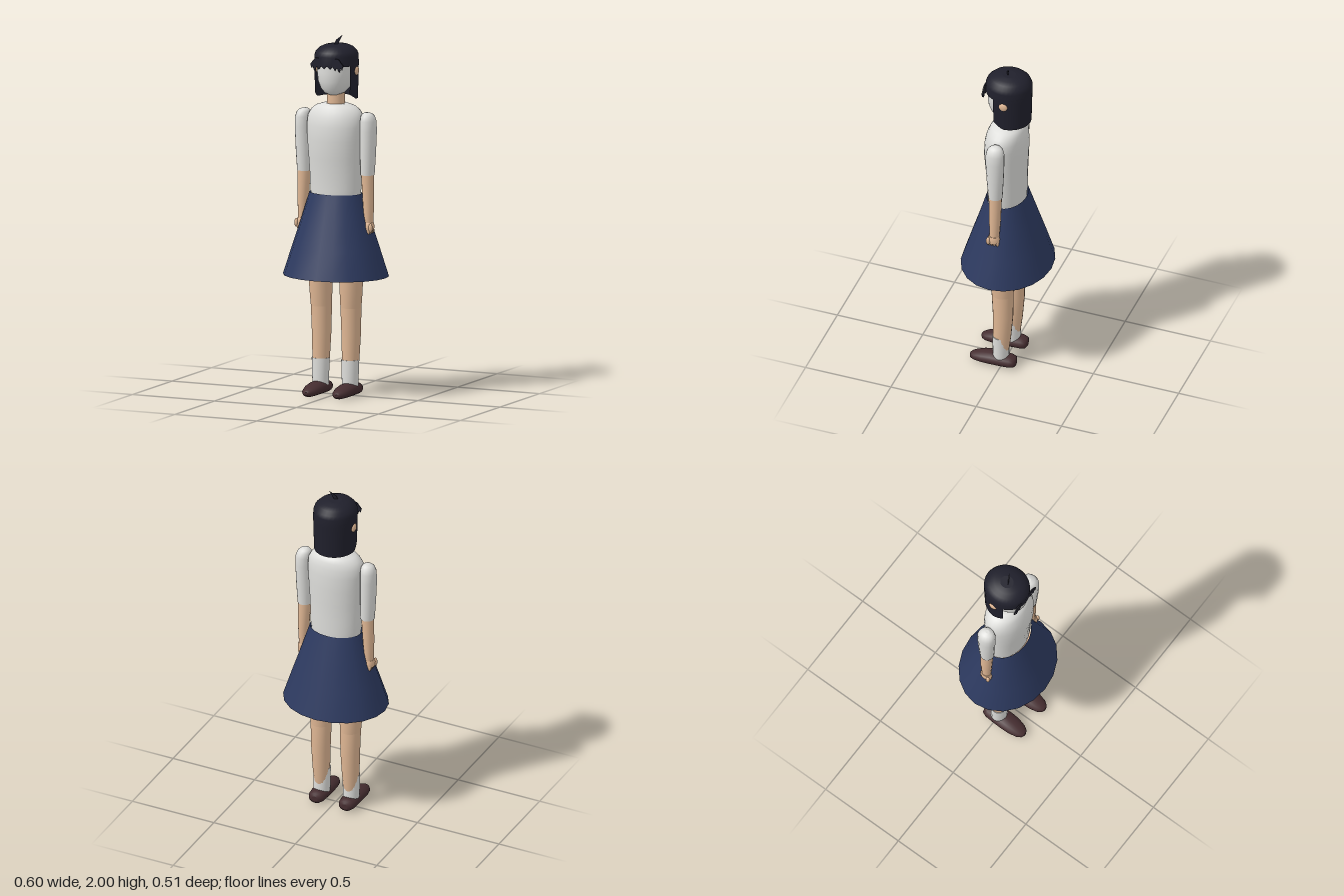
import * as THREE from 'three';

const mat = (name, color, side = THREE.FrontSide) => {
  const m = new THREE.MeshStandardMaterial({ color, side });
  m.name = name;
  return m;
};

// Skin stretched over elliptical rings [y, cx, cz, rx, rz], listed bottom to top.
function loft(rings, n = 20, capped = true) {
  const pos = [], idx = [];
  const addRing = ([y, cx, cz, rx, rz]) => {
    for (let i = 0; i < n; i++) {
      const a = (i / n) * Math.PI * 2 + Math.PI / 2;
      pos.push(cx + rx * Math.sin(a), y, cz + rz * Math.cos(a));
    }
  };
  rings.forEach(addRing);
  for (let r = 0; r < rings.length - 1; r++) {
    for (let i = 0; i < n; i++) {
      const j = (i + 1) % n, a = r * n, b = a + n;
      idx.push(a + i, a + j, b + j, a + i, b + j, b + i);
    }
  }
  if (capped) {
    [rings[0], rings[rings.length - 1]].forEach((ring, top) => {
      const s = pos.length / 3;
      addRing(ring);
      pos.push(ring[1], ring[0], ring[2]);
      for (let i = 0; i < n; i++) {
        const j = (i + 1) % n;
        if (top) idx.push(s + i, s + j, s + n);
        else idx.push(s + j, s + i, s + n);
      }
    });
  }
  const g = new THREE.BufferGeometry();
  g.setAttribute('position', new THREE.Float32BufferAttribute(pos, 3));
  g.setIndex(idx);
  g.computeVertexNormals();
  return g;
}

// Thin plate from outline points, facing +z.
const plate = (pts, depth = 0.006) => new THREE.ExtrudeGeometry(
  new THREE.Shape(pts.map(([x, y]) => new THREE.Vector2(x, y))),
  { depth, bevelEnabled: false });

export function createModel() {
  const model = new THREE.Group();
  const skin = mat('skin', 0xe0b794);
  const white = mat('white cloth', 0xdededb);
  const navy = mat('navy cloth', 0x2d3a60, THREE.DoubleSide);
  const dark = mat('dark hair', 0x20202c, THREE.DoubleSide);
  const brown = mat('brown leather', 0x452d30);

  const add = (name, geometry, material, parent = model) => {
    const m = new THREE.Mesh(geometry, material);
    m.name = name;
    parent.add(m);
    return m;
  };
  const ball = (name, material, p, r, parent = model) => {
    const m = add(name, new THREE.SphereGeometry(1, 20, 14), material, parent);
    m.position.set(...p);
    m.scale.set(...r);
    return m;
  };

  // Body and clothes
  add('shirt', loft([
    [1.1, 0, 0.002, 0.142, 0.102], [1.15, 0, 0.002, 0.148, 0.105], [1.22, 0, 0.003, 0.15, 0.105],
    [1.32, 0, 0.006, 0.155, 0.112], [1.42, 0, 0.008, 0.162, 0.118], [1.5, 0, 0.006, 0.166, 0.116],
    [1.55, 0, 0.003, 0.163, 0.108], [1.585, 0, 0, 0.145, 0.096], [1.608, 0, 0, 0.115, 0.083],
    [1.622, 0, 0, 0.07, 0.058],
  ], 28), white);
  add('skirt', loft([
    [0.665, 0, 0, 0.3, 0.255], [0.82, 0, 0, 0.25, 0.207], [0.98, 0, 0, 0.197, 0.156],
    [1.125, 0, 0.002, 0.152, 0.111],
  ], 20, false), navy);
  add('neck', loft([[1.6, 0, 0, 0.052, 0.05], [1.74, 0, 0, 0.048, 0.048]]), skin);

  // Head
  add('face', loft([
    [1.674, 0, 0.02, 0.03, 0.04], [1.685, 0, 0.016, 0.055, 0.065], [1.71, 0, 0.01, 0.078, 0.088],
    [1.75, 0, 0.006, 0.094, 0.104], [1.8, 0, 0.004, 0.101, 0.109], [1.87, 0, 0, 0.1, 0.11],
  ], 28), white);
  add('hairCap', loft([
    [1.838, 0, -0.007, 0.121, 0.13], [1.89, 0, -0.007, 0.12, 0.13], [1.912, 0, -0.007, 0.112, 0.121],
    [1.932, 0, -0.007, 0.092, 0.101], [1.944, 0, -0.007, 0.066, 0.074],
    [1.95, 0, -0.007, 0.035, 0.038],
  ], 32), dark);

  // Bob: shell open at the face, with its lower front corners lifted
  const bob = new THREE.CylinderGeometry(0.121, 0.116, 0.21, 32, 2, true, 1.135, Math.PI * 2 - 2.27);
  bob.scale(1, 1, 1.07).translate(0, 1.755, -0.007);
  const bp = bob.attributes.position;
  for (let i = 0; i < bp.count; i++) {
    if (bp.getY(i) < 1.66) bp.setY(i, 1.65 + Math.max(0, bp.getZ(i) + 0.01) * 0.55);
  }
  bob.computeVertexNormals();
  add('hairBob', bob, dark);

  add('fringe', plate([
    [-0.07, 1.885], [-0.1, 1.85], [-0.092, 1.825], [-0.085, 1.838], [-0.077, 1.812], [-0.06, 1.838],
    [-0.05, 1.82], [-0.035, 1.84], [-0.018, 1.825], [0, 1.842], [0.018, 1.825], [0.035, 1.84],
    [0.05, 1.82], [0.06, 1.838], [0.077, 1.812], [0.085, 1.838], [0.092, 1.825], [0.1, 1.85],
    [0.07, 1.885],
  ]), dark).position.z = 0.112;
  const tuft = add('hairTuft', plate([[-0.015, 1.94], [0.008, 1.945], [0.036, 2.0], [0.0, 1.972]], 0.004), dark);
  tuft.rotation.y = 0.5;

  // Mirrored limbs and ears; s = 1 is the model's left
  for (const s of [1, -1]) {
    const side = s > 0 ? 'left' : 'right';
    ball(side + 'Ear', skin, [s * 0.117, 1.806, -0.015], [0.012, 0.025, 0.025]);

    const arm = new THREE.Group();
    arm.name = side + 'Arm';
    model.add(arm);
    add('sleeve', loft([
      [1.235, s * 0.193, 0.002, 0.039, 0.04], [1.35, s * 0.196, 0.002, 0.043, 0.047],
      [1.48, s * 0.199, 0.002, 0.045, 0.053], [1.535, s * 0.198, 0.002, 0.044, 0.052],
      [1.562, s * 0.195, 0.002, 0.038, 0.044], [1.576, s * 0.192, 0.002, 0.027, 0.03],
      [1.582, s * 0.19, 0.002, 0.01, 0.012],
    ], 16), white, arm);
    add('forearm', loft([
      [0.965, s * 0.202, 0.004, 0.024, 0.027], [1.08, s * 0.199, 0.002, 0.031, 0.033],
      [1.25, s * 0.193, 0.002, 0.036, 0.037],
    ], 16), skin, arm);
    add('palm', loft([
      [0.93, s * 0.207, 0.007, 0.024, 0.034], [0.955, s * 0.207, 0.007, 0.026, 0.035],
      [0.972, s * 0.204, 0.005, 0.024, 0.029],
    ], 14), skin, arm);
    for (let f = 0; f < 4; f++) {
      ball('finger' + (f + 1), skin, [s * 0.207, 0.928, 0.031 - f * 0.016], [0.018, 0.022, 0.0095], arm);
    }
    ball('thumb', skin, [s * 0.226, 0.945, 0.032], [0.011, 0.025, 0.012], arm);

    const leg = new THREE.Group();
    leg.name = side + 'Leg';
    model.add(leg);
    add('thigh', loft([
      [0.49, s * 0.09, -0.002, 0.058, 0.061], [0.58, s * 0.092, 0, 0.063, 0.067],
      [0.68, s * 0.093, 0.002, 0.067, 0.072], [0.95, s * 0.082, 0.002, 0.07, 0.078],
    ]), skin, leg);
    add('shin', loft([
      [0.06, s * 0.09, 0.008, 0.036, 0.038], [0.12, s * 0.09, 0.005, 0.042, 0.045],
      [0.2, s * 0.09, 0.001, 0.048, 0.051], [0.35, s * 0.09, -0.005, 0.054, 0.057],
      [0.495, s * 0.09, -0.002, 0.058, 0.061],
    ]), skin, leg);
    add('sock', loft([
      [0.05, s * 0.09, 0.007, 0.046, 0.045], [0.2, s * 0.09, 0.008, 0.05, 0.046],
    ]), white, leg);

    // Shoe runs heel to toe, then is laid along z
    const shoe = loft([
      [-0.081, 0, -0.035, 0.018, 0.018], [-0.074, 0, -0.037, 0.038, 0.029],
      [-0.05, 0, -0.038, 0.048, 0.034], [0, 0, -0.04, 0.052, 0.037], [0.06, 0, -0.04, 0.054, 0.037],
      [0.11, 0, -0.036, 0.051, 0.033], [0.155, 0, -0.029, 0.04, 0.025],
      [0.178, 0, -0.026, 0.025, 0.018], [0.186, 0, -0.025, 0.01, 0.009],
    ], 20);
    shoe.rotateX(Math.PI / 2);
    const sp = shoe.attributes.position;
    for (let i = 0; i < sp.count; i++) sp.setY(i, Math.max(0, sp.getY(i) - 0.003)); // flat sole
    shoe.computeVertexNormals();
    add('shoe', shoe, brown, leg).position.x = s * 0.092;
  }
  return model;
}
